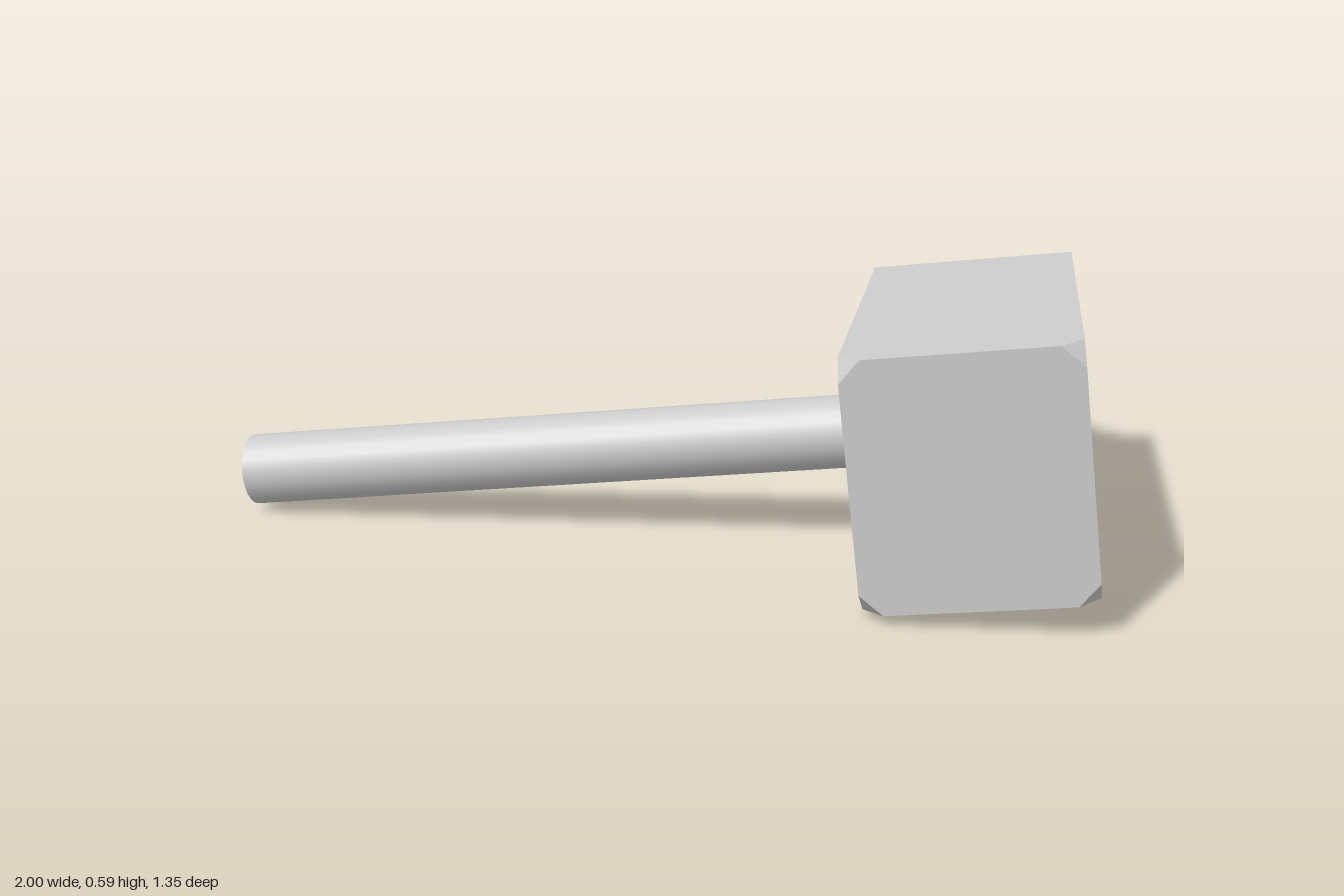
import * as THREE from 'three';
import { ConvexGeometry } from 'three/addons/geometries/ConvexGeometry.js';

const HALF = { x: 0.235, y: 0.26, z: 0.497 }; // half size of the head block
const CUT = 0.045; // corner cut on the striking face

// Block with the four corners of its striking face cut off
function headGeometry() {
  const points = [];
  for (const sx of [-1, 1]) {
    for (const sy of [-1, 1]) {
      const x = sx * HALF.x, y = sy * HALF.y, z = HALF.z;
      points.push(
        new THREE.Vector3(x, y, -z),
        new THREE.Vector3(x - sx * CUT, y, z),
        new THREE.Vector3(x, y - sy * CUT, z),
        new THREE.Vector3(x, y, z - CUT)
      );
    }
  }
  return new ConvexGeometry(points);
}

// Faceted spike: a segmented box whose rings follow [z, half width, half height]
function peenGeometry() {
  const rings = [
    [-0.82, 0.04, 0.055],
    [-0.755, 0.079, 0.11],
    [-0.68, 0.114, 0.135],
    [-0.615, 0.138, 0.158],
    [-0.55, 0.18, 0.2],
    [-0.49, 0.18, 0.2]
  ];
  const n = rings.length - 1;
  const geometry = new THREE.BoxGeometry(2, 2, n, 1, 1, n);
  const p = geometry.attributes.position;
  for (let i = 0; i < p.count; i++) {
    const [z, w, h] = rings[Math.round(p.getZ(i) + n / 2)];
    p.setXYZ(i, p.getX(i) * w, p.getY(i) * h, z);
  }
  const flat = geometry.toNonIndexed();
  flat.computeVertexNormals();
  return flat;
}

export function createModel() {
  const model = new THREE.Group();
  model.name = 'hammer';
  const flat = new THREE.MeshStandardMaterial({ color: 0xcccccc, flatShading: true });
  const smooth = new THREE.MeshStandardMaterial({ color: 0xcccccc });

  // Tilted frame: x along the handle, z along the head
  const body = new THREE.Group();
  body.name = 'hammerBody';
  const along = new THREE.Vector3(0.978, 0.114, -0.171).normalize();
  const up = new THREE.Vector3(0.174, 0.018, 0.984).cross(along).normalize();
  const forward = along.clone().cross(up);
  body.quaternion.setFromRotationMatrix(new THREE.Matrix4().makeBasis(along, up, forward));
  body.position.set(0.656, 0.298, 0.138);
  model.add(body);

  const add = (name, geometry, material) => {
    const mesh = new THREE.Mesh(geometry, material);
    mesh.name = name;
    body.add(mesh);
    return mesh;
  };

  add('head', headGeometry(), flat);
  add('peen', peenGeometry(), flat);

  // Round handle running into the side of the head
  const start = -1.678, end = -0.2;
  const handle = add('handle', new THREE.CylinderGeometry(0.081, 0.081, end - start, 24), smooth);
  handle.rotation.z = -Math.PI / 2;
  handle.position.set((start + end) / 2, -0.012, 0);

  return model;
}
